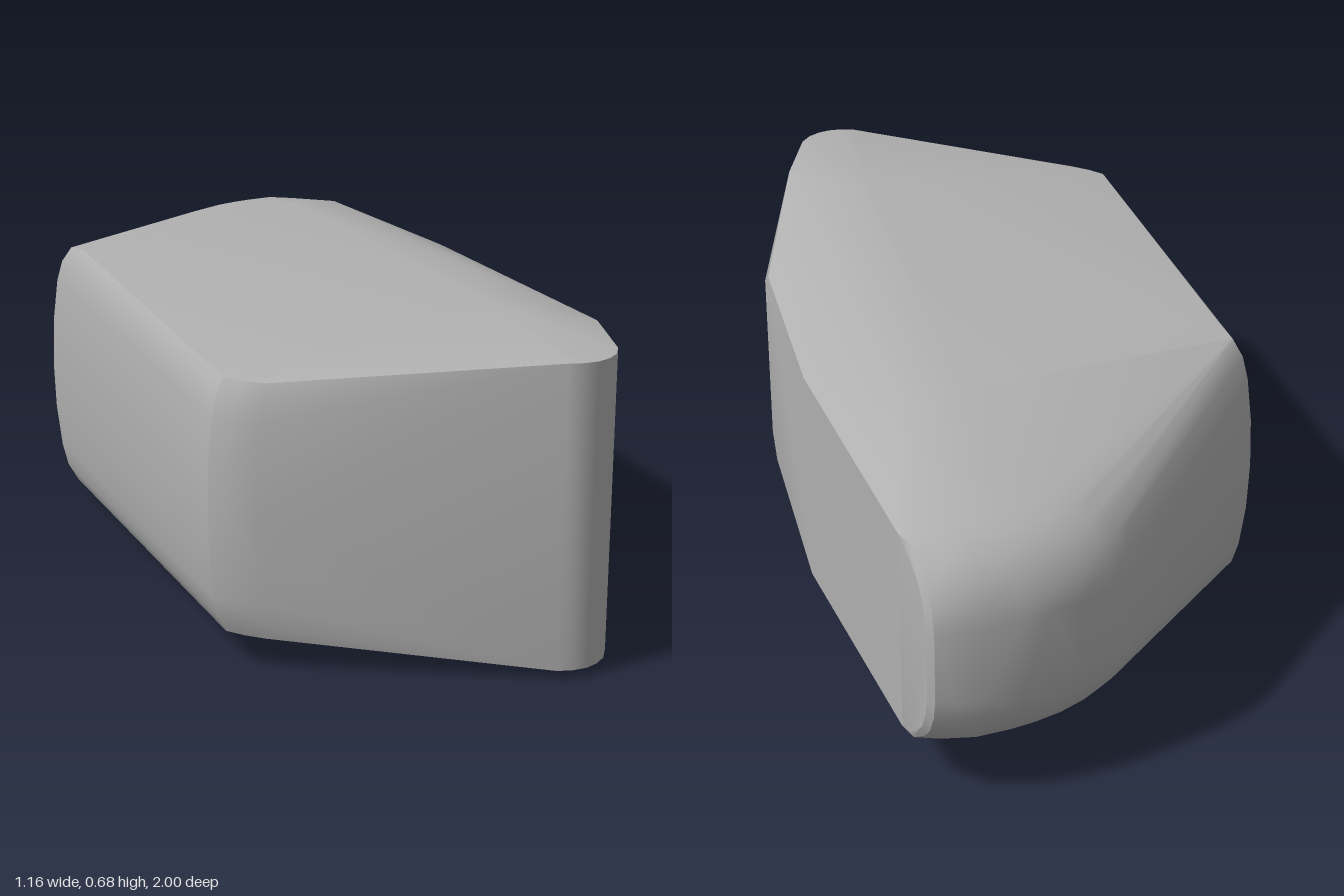
import * as THREE from 'three';
import { ConvexGeometry } from 'three/addons/geometries/ConvexGeometry.js';
import { toCreasedNormals } from 'three/addons/utils/BufferGeometryUtils.js';

const MID = 0.3375; // height of the horizontal mirror plane

export function createModel() {
  const group = new THREE.Group();
  group.name = 'stone';
  const grey = new THREE.MeshStandardMaterial({ color: 0xb0b0b0 });
  grey.name = 'stone grey';

  // Every point is mirrored above and below the mid plane: h is its distance from it
  const points = [];
  const add = (x, z, h) => {
    points.push(new THREE.Vector3(x, MID + h, z));
    if (h > 0) points.push(new THREE.Vector3(x, MID - h, z));
  };

  // Rounded front nose, a straight upright wall
  [[-0.03, 0.98], [0, 0.995], [0.03, 1], [0.06, 0.995], [0.09, 0.98], [0.12, 0.95]]
    .forEach(([x, z]) => add(x, z, 0.32));

  // Gently crowned top and bottom
  [[0.08, 0.6, 0.3375], [0.12, 0.55, 0.337], [0.22, 0.77, 0.318], [0.25, 0.3, 0.325],
    [0.3, -0.5, 0.313], [0.45, -0.53, 0.293], [-0.34, -0.4, 0.298]]
    .forEach((p) => add(...p));

  // Chipped facets of the left side
  [[0.3, 0.71, 0], [0.41, 0.42, 0.2], [0.425, 0.35, 0.24], [0.53, -0.18, 0.24],
    [0.572, -0.87, 0.217]].forEach((p) => add(...p));

  // Barrelled right side, from its front corner to its back corner
  [[0, 0], [0.003, 0.1], [0.012, 0.19], [0.022, 0.235], [0.04, 0.268]].forEach(([inset, h]) => {
    add(-0.58 + inset, 0.55, h);
    add(-0.56 + inset, 0.59, h);
    add(-0.513 + inset * 0.5, 0.64 - inset * 0.3, h);
    add(-0.367 + inset * 0.8, -0.52 + inset * 1.2, h * 1.08);
  });

  // Rounded back: outline with inward directions, swept by the edge profile
  const back = [
    [0.1, -0.9, 0.62, 0.78], [0.15, -0.935, 0.54, 0.84], [0.2, -0.962, 0.45, 0.9],
    [0.27, -0.985, 0.3, 0.95], [0.34, -0.997, 0.15, 0.99], [0.4, -1, 0, 1],
    [0.47, -0.996, 0, 1], [0.53, -0.985, 0, 1], [0.568, -0.971, 0, 1], [0.578, -0.955, 0, 1],
  ];
  const profile = [[0, 0.08], [0.008, 0.125], [0.027, 0.167], [0.055, 0.2], [0.09, 0.224], [0.13, 0.238]];
  for (const [x, z, nx, nz] of back) {
    for (const [inset, h] of profile) {
      const taper = x > 0.5 ? 1 - (x - 0.5) * 1.1 : 1;
      add(Math.min(x + nx * inset, 0.578), z + nz * inset, h * taper);
    }
  }

  const body = new THREE.Mesh(toCreasedNormals(new ConvexGeometry(points), 0.45), grey);
  body.name = 'stoneBody';
  group.add(body);
  return group;
}
